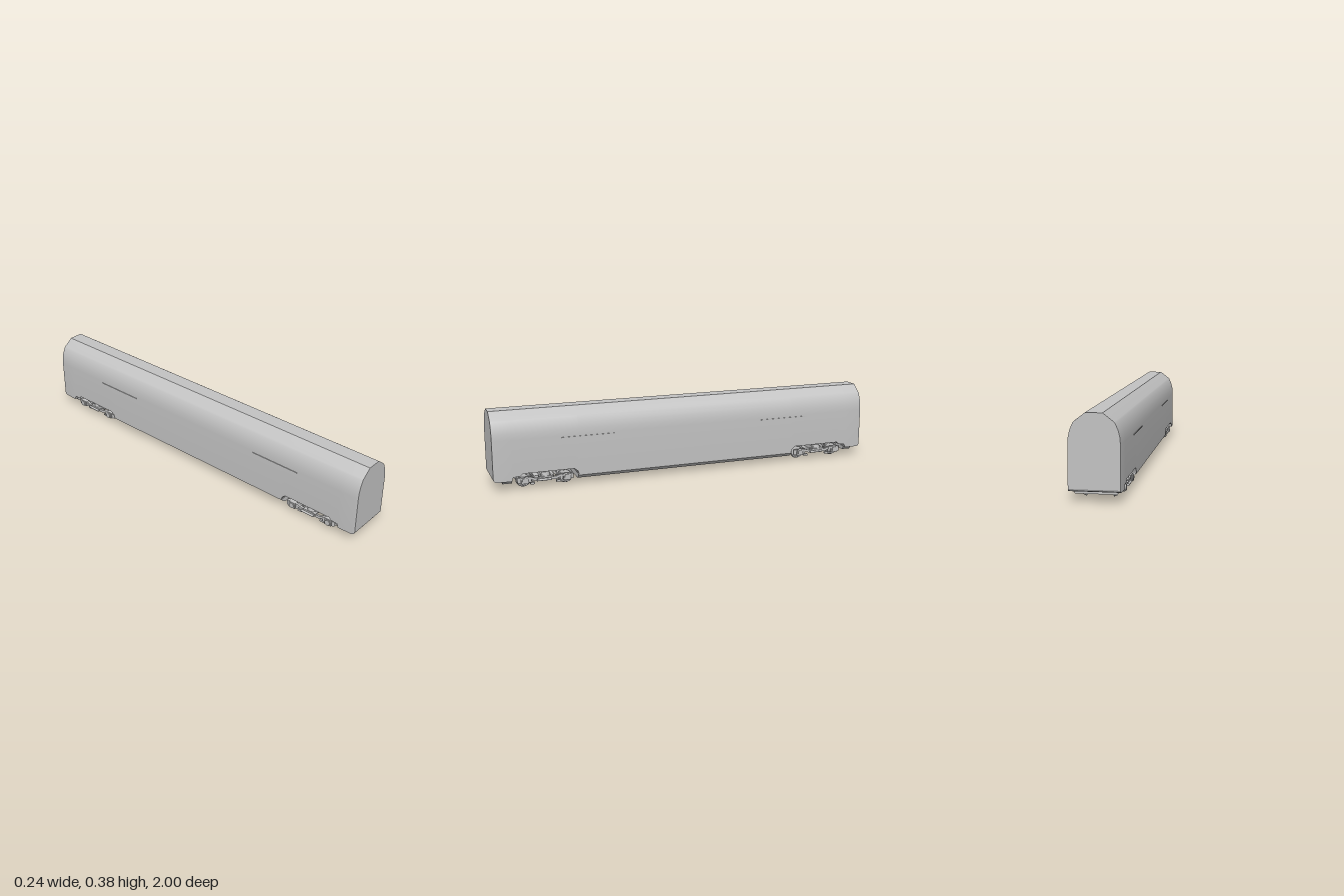
import * as THREE from 'three';
import { toCreasedNormals } from 'three/addons/utils/BufferGeometryUtils.js';

const grey = new THREE.MeshStandardMaterial({ color: 0xc2c2c2, side: THREE.DoubleSide });
grey.name = 'plain grey';

function add(parent, name, geometry, x = 0, y = 0, z = 0) {
  const mesh = new THREE.Mesh(geometry, grey);
  mesh.name = name;
  mesh.position.set(x, y, z);
  parent.add(mesh);
  return mesh;
}
const box = (w, h, d) => new THREE.BoxGeometry(w, h, d);
const barrel = (r, w, n = 24) => new THREE.CylinderGeometry(r, r, w, n).rotateZ(Math.PI / 2);

// Extrudes an outline in x, y along z, centred on z = 0
function prism(points, length) {
  const shape = new THREE.Shape(points.map(p => new THREE.Vector2(...p)));
  const g = new THREE.ExtrudeGeometry(shape, { depth: length, bevelEnabled: false });
  return g.translate(0, 0, -length / 2);
}

// Car body: one roof section swept along z, with the lower edge rising over the bogies
function bodyGeometry() {
  const half = [[0.115, 0.25], [0.1125, 0.28], [0.106, 0.307], [0.092, 0.338], [0.086, 0.344], [0.037, 0.38]];
  // z, lower edge, width factor
  const front = [[0.58, 0.046, 1], [0.588, 0.066, 1], [0.605, 0.08, 1], [0.86, 0.08, 1], [0.872, 0.068, 1],
    [0.905, 0.066, 1], [0.912, 0.046, 1], [0.93, 0.046, 0.998], [0.985, 0.046, 0.98], [0.995, 0.05, 0.972], [1, 0.058, 0.965]];
  const stations = [...front.map(([z, b, w]) => [-z, b, w]).reverse(), ...front];
  const rings = stations.map(([z, b, w]) => {
    const right = [[0.115, b], ...half].map(([x, y], i) => [i === half.length ? x : x * w, y, z]);
    return [...right, ...right.map(([x, y]) => [-x, y, z]).reverse()];
  });
  const pos = [];
  const tri = (...p) => p.forEach(v => pos.push(...v));
  const n = rings[0].length;
  for (let j = 0; j < rings.length - 1; j++) {
    for (let i = 0; i < n; i++) {
      const k = (i + 1) % n, a = rings[j], c = rings[j + 1];
      tri(a[i], a[k], c[k]);
      tri(a[i], c[k], c[i]);
    }
  }
  const back = rings[0], nose = rings[rings.length - 1];
  for (let i = 1; i < n - 1; i++) {
    tri(nose[0], nose[i], nose[i + 1]);
    tri(back[0], back[i + 1], back[i]);
  }
  const g = new THREE.BufferGeometry();
  g.setAttribute('position', new THREE.Float32BufferAttribute(pos, 3));
  return toCreasedNormals(g, 0.55);
}

// Wheel profile turned about the axle, flange on the inner side
function wheelGeometry() {
  const profile = [[0.008, -0.006], [0.026, -0.003], [0.028, -0.006], [0.039, -0.006], [0.039, -0.003],
    [0.036, -0.001], [0.035, 0.006], [0.028, 0.006], [0.026, 0.002], [0.008, 0.007]];
  const g = new THREE.LatheGeometry(profile.map(p => new THREE.Vector2(...p)), 32);
  return toCreasedNormals(g.rotateZ(-Math.PI / 2), 0.5);
}

// Side frame of a bogie, drawn in z, y and extruded across x
function frameGeometry() {
  const upper = [[-0.135, 0.046], [-0.125, 0.056], [-0.075, 0.056], [-0.05, 0.048], [0.05, 0.048],
    [0.075, 0.056], [0.125, 0.056], [0.135, 0.046]];
  const lower = [[0.075, 0.044], [0.05, 0.034], [-0.05, 0.034], [-0.075, 0.044]];
  return prism([...upper, ...lower], 0.012).rotateY(-Math.PI / 2);
}

function createBogie() {
  const bogie = new THREE.Group();
  bogie.name = 'bogie';
  const wheel = wheelGeometry(), frame = frameGeometry();
  for (const dz of [-0.104, 0.104]) {
    const out = Math.sign(dz);
    add(bogie, 'axle', barrel(0.008, 0.19, 12), 0, 0.039, dz);
    for (const s of [-1, 1]) {
      const w = add(bogie, 'wheel', wheel, s * 0.066, 0.039, dz);
      if (s < 0) w.rotation.y = Math.PI;
      add(bogie, 'brakeDisc', barrel(0.026, 0.006), s * 0.03, 0.039, dz);
      // Axle box with its cap and springs
      add(bogie, 'axleBox', box(0.022, 0.03, 0.036), s * 0.096, 0.04, dz);
      add(bogie, 'axleCap', barrel(0.014, 0.006, 16), s * 0.109, 0.04, dz);
      for (const e of [-0.026, 0.026]) {
        add(bogie, 'axleSpring', new THREE.CylinderGeometry(0.008, 0.008, 0.026, 12), s * 0.097, 0.042, dz + e);
      }
      add(bogie, 'brakeBlock', box(0.012, 0.026, 0.006), s * 0.066, 0.036, dz - out * 0.044);
      add(bogie, 'frameBracket', box(0.012, 0.01, 0.022), s * 0.09, 0.021, dz - out * 0.04);
    }
  }
  for (const s of [-1, 1]) {
    add(bogie, 'sideFrame', frame, s * 0.097, 0, 0);
    add(bogie, 'airSpring', new THREE.CylinderGeometry(0.019, 0.023, 0.022, 20), s * 0.085, 0.064, 0);
    add(bogie, 'springSeat', box(0.03, 0.008, 0.07), s * 0.095, 0.051, 0);
    add(bogie, 'damper', barrel(0.006, 0.07, 12), s * 0.109, 0.039, s * 0.01).rotation.y = Math.PI / 2;
    add(bogie, 'hanger', box(0.012, 0.022, 0.016), s * 0.045, 0.026, 0);
  }
  add(bogie, 'bolster', box(0.19, 0.022, 0.05), 0, 0.053, 0);
  add(bogie, 'centrePlate', box(0.054, 0.018, 0.11), 0, 0.029, 0);
  add(bogie, 'transom', box(0.11, 0.012, 0.1), 0, 0.04, 0);
  return bogie;
}

export function createModel() {
  const car = new THREE.Group();
  car.name = 'railCar';
  add(car, 'body', bodyGeometry());

  // Equipment trough between the bogies
  add(car, 'underbelly', prism([[-0.086, 0.023], [0.086, 0.023], [0.111, 0.043], [0.111, 0.05], [-0.111, 0.05], [-0.111, 0.043]], 1.17));
  for (const e of [-1, 1]) {
    const bogie = createBogie();
    bogie.position.z = e * 0.745;
    car.add(bogie);
    add(car, 'endTray', prism([[-0.09, 0.03], [0.09, 0.03], [0.104, 0.05], [-0.104, 0.05]], 0.045), 0, 0, e * 0.932);
    for (const s of [-1, 1]) {
      // Thin strips along the flanks
      add(car, 'sideStrip', box(0.004, 0.004, 0.265), s * 0.116, 0.241, e * 0.532);
    }
  }
  return car;
}
